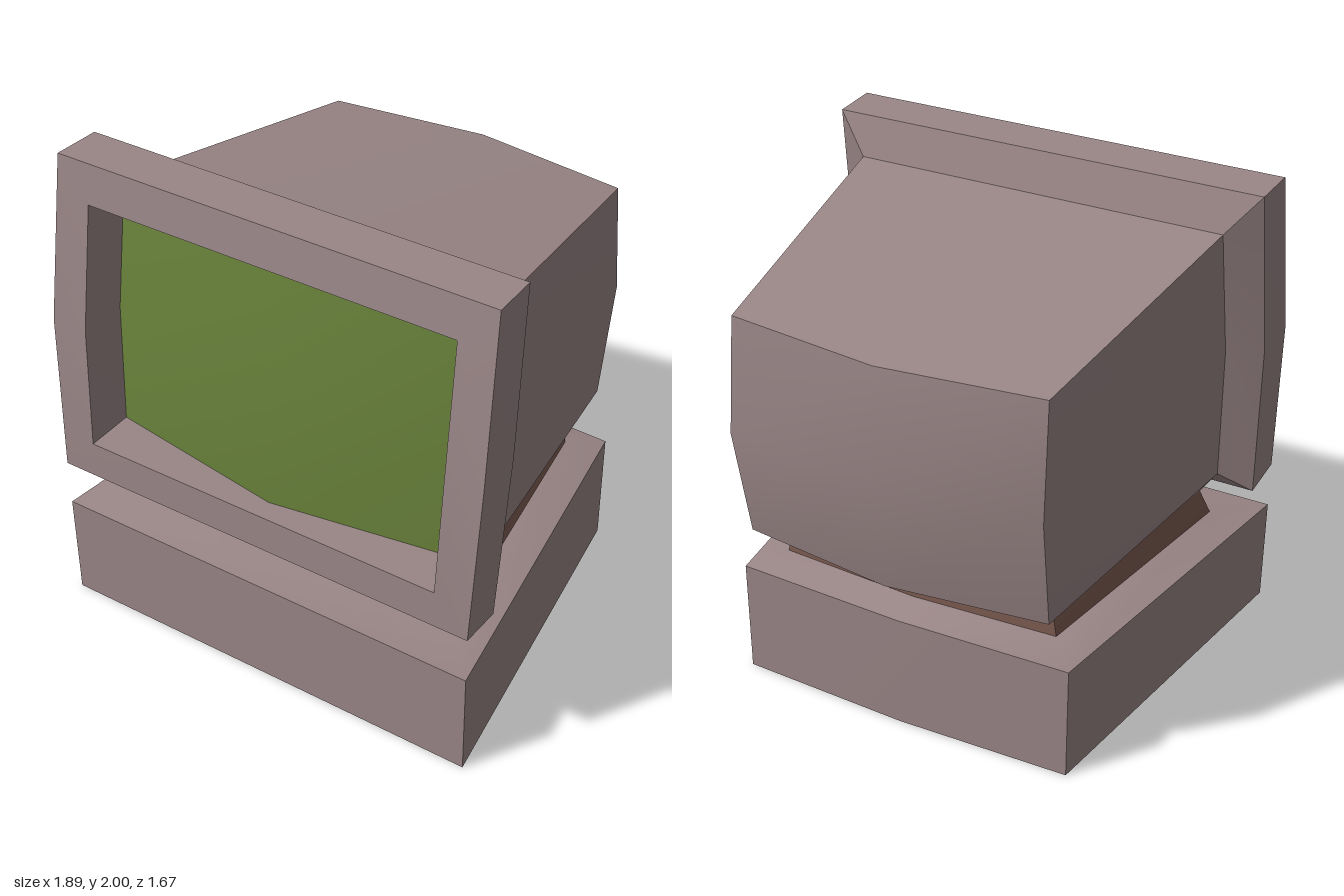
import * as THREE from 'three';
import { toCreasedNormals } from 'three/addons/utils/BufferGeometryUtils.js';

const caseMat = new THREE.MeshStandardMaterial({ name: 'case mauve grey', color: 0x9a8687 });
const neckMat = new THREE.MeshStandardMaterial({ name: 'neck brown', color: 0x7f5d53 });
const screenMat = new THREE.MeshStandardMaterial({ name: 'screen green', color: 0x68813a });

// Upright ring of 8 points, clockwise from the front; each row is [half width, y, z, centre z]
function ring([t, m, b]) {
  const p = ([x, y, z, zc = z], s) => [x * s, y, s ? z : zc];
  return [p(t, -1), p(t, 0), p(t, 1), p(m, 1), p(b, 1), p(b, 0), p(b, -1), p(m, -1)];
}

// Flat-lying loop of 5 points; front and back are [half width, y, z], the back also has its centre y and z
function loop([fx, fy, fz], [bx, by, bz, cy, cz]) {
  return [[-fx, fy, fz], [fx, fy, fz], [bx, by, bz], [0, cy, cz], [-bx, by, bz]];
}

// Quads between neighbouring sections
function skin(sections, closed = true) {
  const n = sections[0].length, index = [];
  for (let s = 0; s < sections.length - 1; s++) {
    for (let i = 0; i < (closed ? n : n - 1); i++) {
      const a = s * n + i, b = s * n + (i + 1) % n;
      index.push(a, b, b + n, a, b + n, a + n);
    }
  }
  const g = new THREE.BufferGeometry();
  g.setAttribute('position', new THREE.Float32BufferAttribute(sections.flat(2), 3));
  g.setIndex(index);
  return toCreasedNormals(g, 0.5);
}

// Bulging 3 x 3 panel across the rows of a ring, facing front (1) or back (-1)
function panel(rows, facing) {
  const lines = [...rows].reverse().map(([x, y, z, zc]) =>
    [[-x * facing, y, z], [0, y, zc], [x * facing, y, z]]);
  return skin(lines, false);
}

export function createModel() {
  const group = new THREE.Group();
  const add = (name, geometry, material) => {
    const mesh = new THREE.Mesh(geometry, material);
    mesh.name = name;
    group.add(mesh);
  };

  // Base box with a shallow sloping top
  const neckBottom = loop([0.75, 0.49, 0.62], [0.6, 0.525, -0.505, 0.525, -0.54]);
  add('base', skin([
    loop([0, 0, 0], [0, 0, 0, 0, 0]),
    loop([0.925, 0, 0.84], [0.72, 0, -0.64, 0, -0.665]),
    loop([0.925, 0.455, 0.84], [0.72, 0.49, -0.64, 0.49, -0.665]),
    neckBottom,
  ]), caseMat);

  // Neck and the underside flaring out above it
  const neckTop = loop([0.75, 0.665, 0.49], [0.58, 0.655, -0.505, 0.635, -0.54]);
  add('neck', skin([neckBottom, neckTop]), neckMat);
  add('underside', skin([
    neckTop,
    loop([0.79, 0.715, 0.57], [0.65, 0.705, -0.67, 0.705, -0.75]),
  ]), caseMat);

  // Monitor sections from the recessed screen to the back
  const screen = [[0.78, 1.84, 0.52, 0.63], [0.785, 1.32, 0.6, 0.72], [0.78, 0.81, 0.63, 0.75]];
  const opening = [[0.78, 1.84, 0.724], [0.79, 1.32, 0.8], [0.78, 0.81, 0.835]];
  const bezelFront = [[0.925, 2, 0.7], [0.945, 1.32, 0.8], [0.925, 0.655, 0.84]];
  const bezelBack = [[0.92, 1.995, 0.5], [0.94, 1.32, 0.59], [0.92, 0.63, 0.645]];
  const bodyFront = [[0.79, 1.835, 0.445], [0.8, 1.3, 0.535], [0.79, 0.715, 0.57]];
  const bodyBack = [[0.65, 1.66, -0.705, -0.785], [0.66, 1.18, -0.75, -0.835], [0.65, 0.705, -0.67, -0.75]];

  add('screen', panel(screen, 1), screenMat);
  add('bezel', skin([screen, opening, bezelFront, bezelBack, bodyFront].map(ring)), caseMat);
  add('monitorBody', skin([bodyFront, bodyBack].map(ring)), caseMat);
  add('monitorBack', panel(bodyBack, -1), caseMat);
  return group;
}
